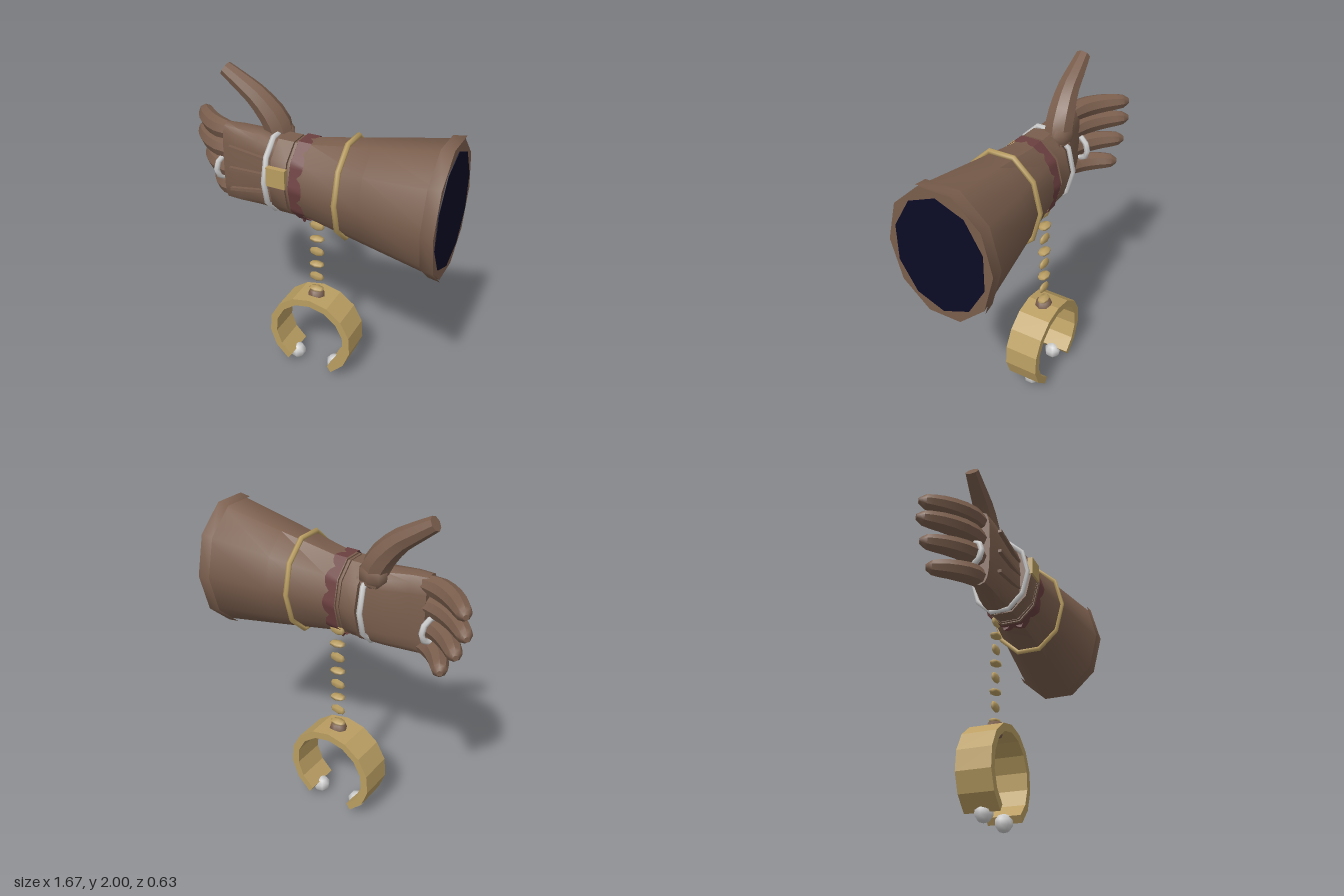
import * as THREE from 'three';
import { toCreasedNormals } from 'three/addons/utils/BufferGeometryUtils.js';

const mat = (name, color, side = THREE.FrontSide) => {
  const m = new THREE.MeshStandardMaterial({ color, side });
  m.name = name;
  return m;
};

// Skin a list of rings (arrays of Vector3), optionally closing both ends
function skin(rings, caps = true) {
  const n = rings[0].length, pos = [];
  const tri = (...pts) => pts.forEach(p => pos.push(p.x, p.y, p.z));
  for (let i = 0; i < rings.length - 1; i++) {
    for (let j = 0; j < n; j++) {
      const k = (j + 1) % n, a = rings[i], b = rings[i + 1];
      tri(a[j], b[j], a[k]);
      tri(b[j], b[k], a[k]);
    }
  }
  if (caps) {
    const mid = r => r.reduce((s, p) => s.add(p), new THREE.Vector3()).divideScalar(n);
    const s = rings[0], e = rings[rings.length - 1], sm = mid(s), em = mid(e);
    for (let j = 0; j < n; j++) {
      const k = (j + 1) % n;
      tri(sm, s[j], s[k]);
      tri(em, e[k], e[j]);
    }
  }
  const g = new THREE.BufferGeometry();
  g.setAttribute('position', new THREE.Float32BufferAttribute(pos, 3));
  return toCreasedNormals(g, 0.75);
}

// Cross-sections along x: [x, centreY, centreZ, radiusY, radiusZ]; low power = boxier
function loft(sections, n, power = 1, turn = 0, caps = true) {
  const bend = v => Math.sign(v) * Math.abs(v) ** power;
  return skin(sections.map(([x, cy, cz, ry, rz]) => Array.from({ length: n }, (_, j) => {
    const a = j / n * Math.PI * 2 + turn;
    return new THREE.Vector3(x, cy + ry * bend(Math.sin(a)), cz + rz * bend(Math.cos(a)));
  })), caps);
}

// Tapered limb through points [x, y, z, radius]
function limb(points, ref, n = 8, steps = 9) {
  const curve = new THREE.CatmullRomCurve3(points.map(p => new THREE.Vector3(p[0], p[1], p[2])));
  const rings = [];
  for (let i = 0; i <= steps; i++) {
    const t = i / steps, f = t * (points.length - 1), a = Math.min(Math.floor(f), points.length - 2);
    const r = THREE.MathUtils.lerp(points[a][3], points[a + 1][3], f - a);
    const c = curve.getPoint(t), tan = curve.getTangent(t);
    const u = ref.clone().addScaledVector(tan, -ref.dot(tan)).normalize();
    const v = u.clone().cross(tan);
    rings.push(Array.from({ length: n }, (_, j) => {
      const q = j / n * Math.PI * 2;
      return c.clone().addScaledVector(u, r * Math.cos(q)).addScaledVector(v, r * Math.sin(q));
    }));
  }
  return skin(rings);
}

// Loop of metal around the x axis
const hoop = (radius, tube, zScale) =>
  new THREE.TorusGeometry(radius, tube, 6, 10).rotateY(Math.PI / 2).scale(1, 1, zScale);

export function createModel() {
  const model = new THREE.Group();
  model.name = 'gloveWithShackle';
  const leather = mat('leather brown', 0x7a5e4d);
  const gold = mat('old gold', 0xba9e62);
  const silver = mat('silver', 0xcbcbcb);
  const red = mat('dark red cloth', 0x6c4040, THREE.DoubleSide);
  const navy = mat('navy lining', 0x0a0a26);
  const add = (name, geometry, material, x = 0, y = 0, z = 0) => {
    const m = new THREE.Mesh(geometry, material);
    m.name = name;
    m.position.set(x, y, z);
    model.add(m);
    return m;
  };
  const cy = 1.432;

  // Flared sleeve, rim and dark opening
  add('sleeve', loft([[-0.03, cy, 0, 0.237, 0.177], [0.04, cy, 0, 0.241, 0.18],
    [0.4, cy, 0, 0.31, 0.237], [0.825, cy, 0, 0.39, 0.302]], 10), leather);
  add('sleeveRim', loft([[0.76, cy, 0, 0.393, 0.307], [0.832, cy, 0, 0.403, 0.315]], 10, 1, 0, false), leather);
  add('sleeveOpening', loft([[0.82, cy, 0, 0.336, 0.263], [0.829, cy, 0, 0.336, 0.263]],
    10, 1, Math.PI / 2), navy);
  add('sleeveHoop', hoop(0.296, 0.016, 0.775), gold, 0.262, cy);

  // Wrist bands
  add('wristBand', loft([[-0.155, cy, 0, 0.237, 0.178], [-0.06, cy, 0, 0.237, 0.18]], 10), leather);
  add('wristGroove', loft([[-0.07, cy, 0, 0.22, 0.165], [-0.02, cy, 0, 0.22, 0.165]], 10), leather);
  add('wristPiping', loft([[-0.053, cy, 0, 0.236, 0.178], [-0.038, cy, 0, 0.236, 0.178]], 10), leather);
  add('wristPlate', new THREE.BoxGeometry(0.115, 0.11, 0.032), gold, -0.107, 1.485, 0.175);

  // Red band with a scalloped edge, following the ten-sided sleeve
  const bandRing = edge => Array.from({ length: 60 }, (_, j) => {
    const a = j / 60 * Math.PI * 2, side = Math.PI / 5;
    const k = Math.cos(side / 2) / Math.cos((a % side) - side / 2);
    const x = edge ? 0.012 + 0.034 * Math.sqrt(Math.abs(Math.sin(a * 5 + Math.PI / 2))) : -0.032;
    return new THREE.Vector3(x, cy + 0.249 * k * Math.sin(a), 0.189 * k * Math.cos(a));
  });
  add('scallopedBand', skin([bandRing(false), bandRing(true)], false), red);
  for (const s of [-1, 1]) {
    const tail = new THREE.Shape([[0, 0.03], [0.07, 0.01], [0.055, -0.025], [0.03, -0.015]]
      .map(([a, b]) => new THREE.Vector2(a * s, b)));
    add('ribbonTail', new THREE.ExtrudeGeometry(tail, { depth: 0.012, bevelEnabled: false })
      .rotateY(-Math.PI / 2), red, 0.006, 1.2, 0);
  }

  // Hand
  add('palm', loft([[-0.51, 1.436, 0.01, 0.236, 0.06], [-0.42, 1.436, 0.005, 0.236, 0.078],
    [-0.28, 1.432, -0.01, 0.228, 0.1], [-0.13, 1.432, -0.012, 0.224, 0.125]], 16, 0.6), leather);
  const yAxis = new THREE.Vector3(0, 1, 0), zAxis = new THREE.Vector3(0, 0, 1);
  const curl = [[0, 0.005, 0.05], [0.35, -0.02, 0.062], [0.68, -0.095, 0.057], [0.92, -0.185, 0.045], [1, -0.218, 0.016]];
  [[1.613, -0.815], [1.497, -0.83], [1.376, -0.78], [1.258, -0.7]].forEach(([y, tip], i) => {
    add('finger' + (i + 1), limb(curl.map(([f, z, r]) => [-0.46 + f * (tip + 0.46), y, z, r]), yAxis), leather);
  });
  add('thumb', limb([[-0.2, 1.58, -0.07, 0.075], [-0.235, 1.7, -0.065, 0.083], [-0.335, 1.825, -0.05, 0.066],
    [-0.44, 1.9, -0.045, 0.054], [-0.535, 1.963, -0.04, 0.042]], zAxis), leather);
  add('thumbBase', new THREE.SphereGeometry(0.09, 8, 5).scale(1, 0.9, 0.75), leather, -0.215, 1.63, -0.085);

  // Raised seams on the back of the hand
  for (const [y0, y1] of [[1.565, 1.53], [1.434, 1.44], [1.305, 1.35]]) {
    const seam = add('seam', new THREE.BoxGeometry(0.29, 0.018, 0.022), leather, -0.305, (y0 + y1) / 2, 0.103);
    seam.rotation.z = Math.atan2(y1 - y0, 0.28);
  }

  // Silver jewellery
  add('bracelet', hoop(0.234, 0.017, 0.75), silver, -0.19, cy, -0.005);
  const ring = add('fingerRing', hoop(0.073, 0.017, 1.1), silver, -0.55, 1.376, -0.025);
  ring.rotation.y = -0.33;

  // Hanging chain of alternating links
  for (let i = 0; i < 8; i++) {
    const upright = i % 2 === 1;
    const link = new THREE.SphereGeometry(1, 6, 4).rotateZ(Math.PI / 2)
      .scale(0.05, upright ? 0.033 : 0.017, upright ? 0.018 : 0.035);
    add('chainLink', link, gold, 0, 0.605 + i * 0.091, -0.11);
  }

  // Open shackle with silver end knobs
  const arc = Array.from({ length: 13 }, (_, i) => (-57 + i * 24.5) * Math.PI / 180);
  const at = r => a => new THREE.Vector2(r * Math.cos(a), r * Math.sin(a));
  const shackle = new THREE.Shape([...arc.map(at(0.283)), ...arc.map(at(0.237)).reverse()]);
  add('shackle', new THREE.ExtrudeGeometry(shackle, { depth: 0.208, bevelEnabled: false }), gold, 0, 0.29, -0.215);
  add('shackleStud', new THREE.SphereGeometry(0.058, 8, 4), leather, 0, 0.555, -0.11);
  for (const s of [-1, 1]) {
    add('shackleKnob', new THREE.SphereGeometry(0.054, 7, 5), silver, s * 0.135, 0.054, -0.11);
  }
  return model;
}
